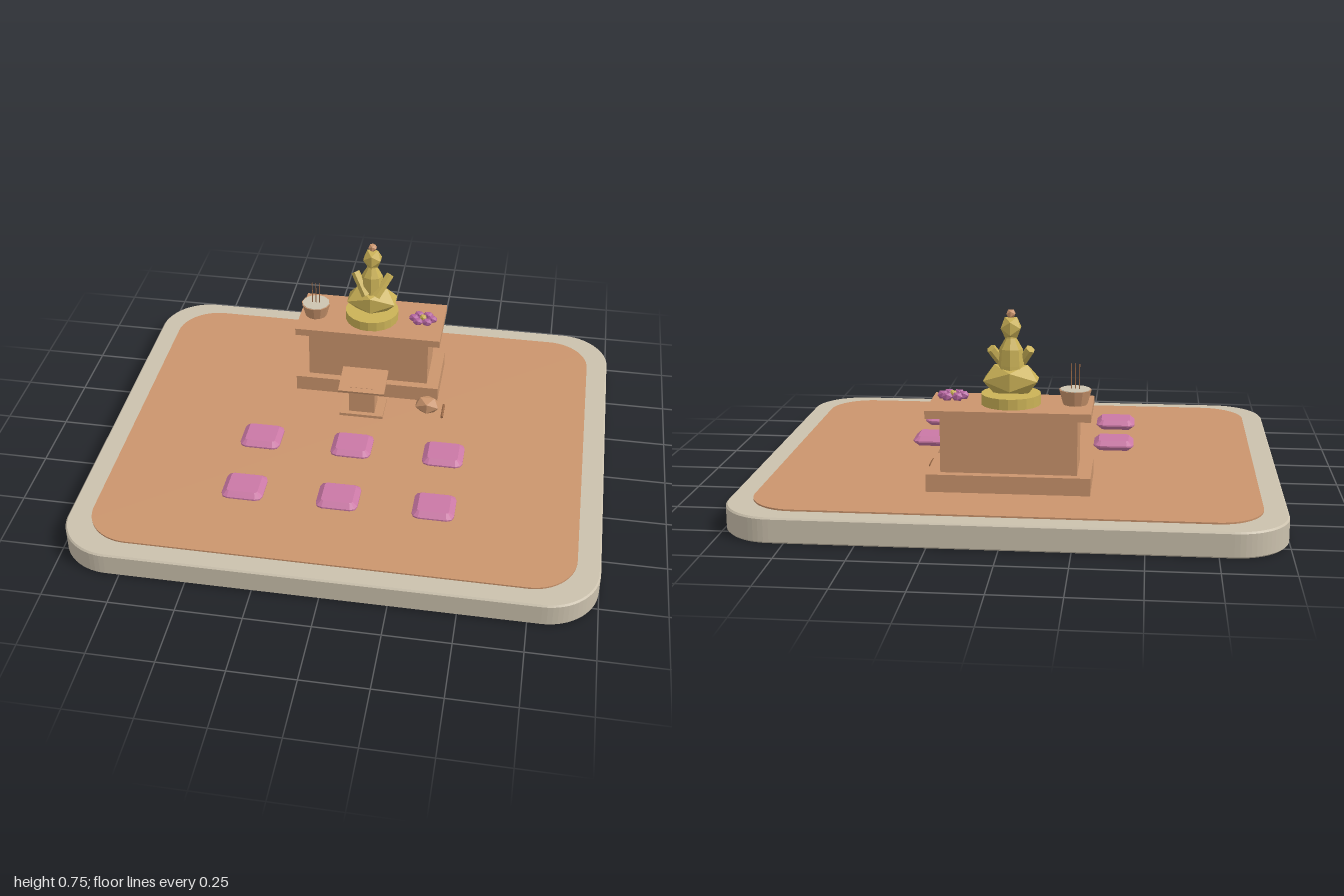
import * as THREE from 'three';

const material = (name, color) => {
  const m = new THREE.MeshStandardMaterial({ color, flatShading: true });
  m.name = name;
  return m;
};

export function createModel() {
  const model = new THREE.Group();
  model.name = 'shrine';

  const stone = material('stone', 0xcbc1ad);
  const wood = material('wood', 0xcb956d);
  const gold = material('gold', 0xcbb257);
  const pink = material('pink', 0xca78a5);
  const petalPink = material('petalPink', 0xb565a0);
  const ash = material('ash', 0xccc3b0);
  const stickBrown = material('stickBrown', 0x9a6a48);

  const add = (name, geometry, mat, x = 0, y = 0, z = 0, parent = model) => {
    const mesh = new THREE.Mesh(geometry, mat);
    mesh.name = name;
    mesh.position.set(x, y, z);
    parent.add(mesh);
    return mesh;
  };
  const box = (name, w, y0, y1, d, z, mat = wood) =>
    add(name, new THREE.BoxGeometry(w, y1 - y0, d), mat, 0, (y0 + y1) / 2, z);
  const gem = (rx, ry, rz) => new THREE.IcosahedronGeometry(1, 0).scale(rx, ry, rz);

  // Rectangle with rounded corners, half sizes a and b
  const roundedRect = (a, b, r) => {
    const s = new THREE.Shape();
    s.absarc(a - r, b - r, r, 0, Math.PI / 2);
    s.absarc(-a + r, b - r, r, Math.PI / 2, Math.PI);
    s.absarc(-a + r, -b + r, r, Math.PI, Math.PI * 1.5);
    s.absarc(a - r, -b + r, r, Math.PI * 1.5, Math.PI * 2);
    s.closePath();
    return s;
  };
  // Upright slab standing on y = 0, with chamfered rims
  const slab = (a, b, r, height, inset, rise, curveSegments) =>
    new THREE.ExtrudeGeometry(roundedRect(a - inset, b - inset, r - inset), {
      depth: height - 2 * rise, curveSegments, bevelEnabled: inset > 0,
      bevelSize: inset, bevelThickness: rise, bevelSegments: 1,
    }).rotateX(-Math.PI / 2).translate(0, rise, 0);

  // Ground platform and wooden floor
  add('platform', slab(1, 0.862, 0.2, 0.094, 0.006, 0.006, 8), stone);
  add('floor', slab(0.914, 0.784, 0.17, 0.012, 0, 0, 8), wood, 0, 0.088, 0);

  // Altar
  box('altarBase', 0.6, 0.1, 0.166, 0.28, -0.4);
  box('altarBody', 0.5, 0.166, 0.375, 0.214, -0.4);
  box('altarTop', 0.6, 0.375, 0.405, 0.28, -0.4);

  // Seated statue
  const statue = new THREE.Group();
  statue.name = 'statue';
  statue.position.z = -0.4;
  model.add(statue);
  add('pedestal', new THREE.CylinderGeometry(0.11, 0.11, 0.04, 20), gold, 0, 0.425, 0, statue);
  add('crossedLegs', gem(0.117, 0.065, 0.074), gold, 0, 0.495, 0, statue);
  const torso = [[0.05, 0.5], [0.048, 0.55], [0.043, 0.61], [0.02, 0.65], [0.018, 0.67]]
    .map(([r, y]) => new THREE.Vector2(r, y));
  add('torso', new THREE.LatheGeometry(torso, 8).scale(1, 1, 0.9), gold, 0, 0, 0, statue);
  for (const side of [-1, 1]) {
    const shoulder = new THREE.Vector3(side * 0.072, 0.612, -0.01);
    const hand = new THREE.Vector3(side * 0.02, 0.53, 0.035);
    const axis = shoulder.clone().sub(hand);
    const arm = add(side > 0 ? 'leftArm' : 'rightArm',
      new THREE.CylinderGeometry(0.018, 0.02, axis.length(), 6), gold, 0, 0, 0, statue);
    arm.position.copy(shoulder).add(hand).multiplyScalar(0.5);
    arm.quaternion.setFromUnitVectors(new THREE.Vector3(0, 1, 0), axis.normalize());
  }
  add('head', gem(0.042, 0.046, 0.04), gold, 0, 0.688, 0, statue);
  add('topknot', gem(0.019, 0.018, 0.019), wood, 0, 0.739, 0, statue);

  // Incense bowl
  const bowl = new THREE.Group();
  bowl.name = 'incenseBowl';
  bowl.position.set(-0.235, 0.405, -0.387);
  model.add(bowl);
  add('bowl', new THREE.CylinderGeometry(0.06, 0.045, 0.055, 12), wood, 0, 0.0275, 0, bowl);
  add('ash', new THREE.CylinderGeometry(0.056, 0.056, 0.004, 12), ash, 0, 0.055, 0, bowl);
  for (const x of [-0.015, 0, 0.015]) {
    add('incenseStick', new THREE.CylinderGeometry(0.002, 0.002, 0.1, 5), stickBrown, x, 0.1, 0, bowl);
  }

  // Flower offering
  const flower = new THREE.Group();
  flower.name = 'flower';
  flower.position.set(0.216, 0.428, -0.387);
  model.add(flower);
  for (let i = 0; i < 6; i++) {
    const a = (i * Math.PI) / 3;
    add('petal', gem(0.023, 0.018, 0.016), petalPink,
      Math.cos(a) * 0.038, 0, Math.sin(a) * 0.03, flower);
  }
  add('flowerCentre', gem(0.016, 0.016, 0.016), gold, 0, 0.004, 0, flower);

  // Reading stand with a sloping top
  box('standFoot', 0.18, 0.1, 0.112, 0.13, -0.17);
  box('standColumn', 0.106, 0.112, 0.233, 0.085, -0.168);
  box('standTop', 0.19, 0.233, 0.242, 0.135, -0.17).rotation.x = 0.22;

  // Wooden drum and its striker
  add('drum', gem(0.056, 0.041, 0.04), wood, 0.266, 0.135, -0.187);
  add('striker', new THREE.CylinderGeometry(0.006, 0.006, 0.085, 6).rotateX(Math.PI / 2),
    stickBrown, 0.331, 0.106, -0.192);

  // Two rows of floor cushions
  for (const z of [0.112, 0.43]) {
    for (const x of [-0.367, 0, 0.367]) {
      add('cushion', slab(0.08, 0.073, 0.03, 0.04, 0.02, 0.017, 1), pink, x, 0.1, z);
    }
  }

  return model;
}
